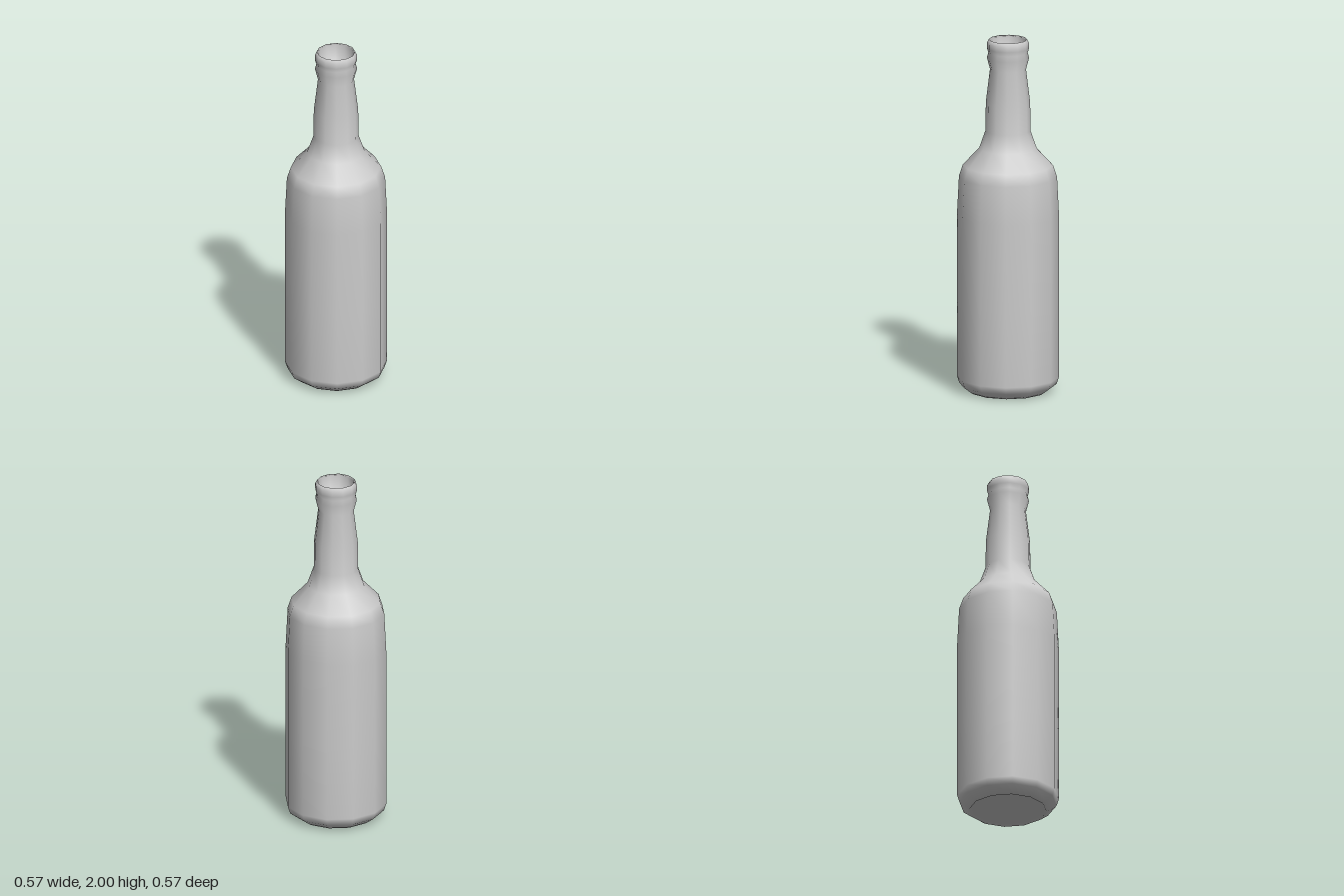
import * as THREE from 'three';

const SIDES = 12;

export function createModel() {
  const group = new THREE.Group();
  group.name = 'bottle';
  const material = new THREE.MeshStandardMaterial({ color: 0xcccccc });

  // Half section as [radius, height], from the base centre up the outside and into the mouth
  const profile = [
    // hollowed base
    [0, 0.03], [0.2, 0.02], [0.215, 0.0], [0.23, 0.01],
    // body
    [0.27, 0.04], [0.283, 0.08], [0.283, 0.5], [0.283, 1.0], [0.272, 1.22],
    // shoulder
    [0.25, 1.285], [0.16, 1.38],
    // neck
    [0.125, 1.48], [0.123, 1.64], [0.1, 1.83],
    // lip with two ridges
    [0.117, 1.895], [0.109, 1.925], [0.117, 1.95], [0.117, 1.98], [0.106, 2.0],
    // mouth recess
    [0.1, 1.99], [0.093, 1.86], [0, 1.85],
  ].map(([r, y]) => new THREE.Vector2(r, y));

  const bottle = new THREE.Mesh(new THREE.LatheGeometry(profile, SIDES), material);
  bottle.name = 'bottleBody';
  group.add(bottle);
  return group;
}
